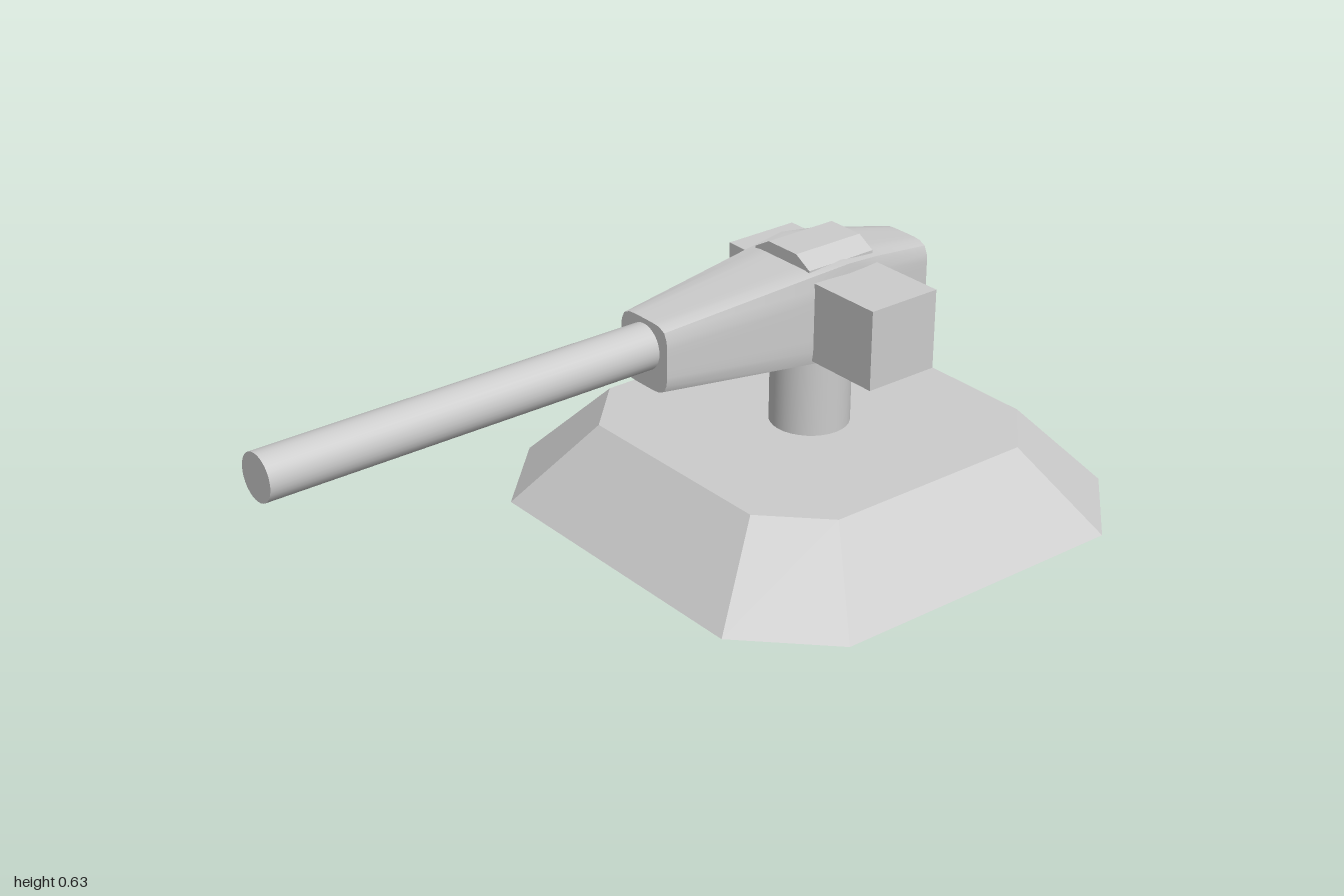
import * as THREE from 'three';
import { toCreasedNormals } from 'three/addons/utils/BufferGeometryUtils.js';

const PIVOT_Z = -0.427;

// Skin rings of equal point count (counter-clockwise seen from +z, ordered from back to front).
function loft(rings, capStart, capEnd) {
  const n = rings[0].length, pos = rings.flat(2), index = [];
  for (let r = 0; r < rings.length - 1; r++) {
    for (let i = 0; i < n; i++) {
      const a = r * n + i, b = r * n + (i + 1) % n;
      index.push(a, b, b + n, a, b + n, a + n);
    }
  }
  const last = (rings.length - 1) * n;
  for (let i = 1; i < n - 1; i++) {
    if (capStart) index.push(0, i + 1, i);
    if (capEnd) index.push(last, last + i, last + i + 1);
  }
  const geo = new THREE.BufferGeometry();
  geo.setAttribute('position', new THREE.Float32BufferAttribute(pos, 3));
  geo.setIndex(index);
  return geo;
}

// Chamfered square ring at height y
function octagon(half, corner, y) {
  const h = half, c = corner;
  return [[h, c], [h, -c], [c, -h], [-c, -h], [-h, -c], [-h, c], [-c, h], [c, h]]
    .map(([x, z]) => [x, y, z + PIVOT_Z]);
}

// Rounded square ring; a high power gives sharper corners
function roundedSquare(z, half, power) {
  const ring = [];
  for (let i = 0; i < 32; i++) {
    const t = i / 32 * Math.PI * 2, c = Math.cos(t), s = Math.sin(t);
    const k = half / Math.pow(Math.abs(c) ** power + Math.abs(s) ** power, 1 / power);
    ring.push([c * k, 0.497 + s * k, z]);
  }
  return ring;
}

export function createModel() {
  const group = new THREE.Group();
  const add = (name, geo, x = 0, y = 0, z = 0, options = {}) => {
    const mesh = new THREE.Mesh(geo, new THREE.MeshStandardMaterial({ color: 0xcccccc, ...options }));
    mesh.name = name;
    mesh.position.set(x, y, z);
    group.add(mesh);
  };

  // Sloped octagonal base, hollow and open underneath
  const base = loft([octagon(0.57, 0.38, 0), octagon(0.4, 0.267, 0.19)], false, true);
  add('base', toCreasedNormals(base, 0.3), 0, 0, 0, { side: THREE.DoubleSide });

  // Round pillar
  add('pillar', new THREE.CylinderGeometry(0.093, 0.093, 0.25, 32), 0, 0.315, PIVOT_Z);

  // Gun housing, widest and squarest at the pivot, rounded at both ends
  const housing = loft([
    roundedSquare(-0.7, 0.079, 5),
    roundedSquare(-0.52, 0.109, 14),
    roundedSquare(-0.43, 0.115, 40),
    roundedSquare(-0.33, 0.11, 14),
    roundedSquare(0.05, 0.079, 5),
  ], true, true);
  add('housing', toCreasedNormals(housing, 0.6));

  // Barrel
  const barrel = new THREE.CylinderGeometry(0.053, 0.053, 0.97, 32).rotateX(Math.PI / 2);
  add('barrel', barrel, 0, 0.511, 0.515);

  // Side boxes, the left one longer
  add('leftBox', new THREE.BoxGeometry(0.235, 0.187, 0.185), 0.1775, 0.4935, PIVOT_Z);
  add('rightBox', new THREE.BoxGeometry(0.24, 0.187, 0.185), -0.06, 0.4935, PIVOT_Z);

  // Bevelled cover on top of the housing
  const cover = new THREE.Shape([[-0.09, 0.55], [0.09, 0.55], [0.09, 0.61], [0.046, 0.635],
    [-0.046, 0.635], [-0.09, 0.61]].map(([x, y]) => new THREE.Vector2(x, y)));
  add('topCover', new THREE.ExtrudeGeometry(cover, { depth: 0.185, bevelEnabled: false }),
    0, 0, PIVOT_Z - 0.0925);

  return group;
}
